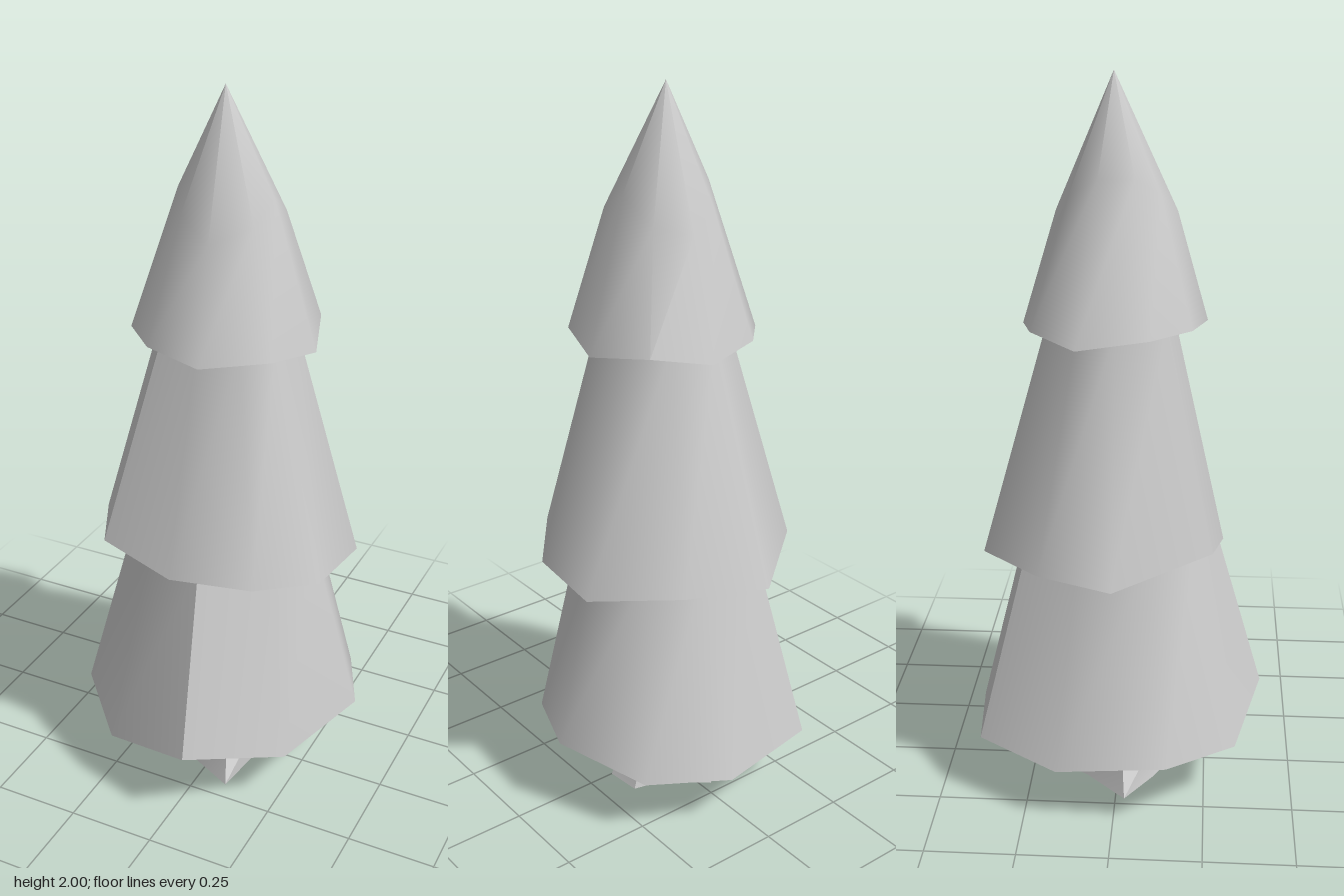
import * as THREE from 'three';
import { toCreasedNormals } from 'three/addons/utils/BufferGeometryUtils.js';

const material = new THREE.MeshStandardMaterial({ color: 0xcccccc });

// Skin a stack of rings, bottom to top; a ring of one point closes an end.
// Ring points run from the front towards +x.
function loft(name, rings, crease) {
  const pos = [];
  for (let k = 0; k < rings.length - 1; k++) {
    const lo = rings[k], hi = rings[k + 1];
    const n = Math.max(lo.length, hi.length);
    for (let i = 0; i < n; i++) {
      const j = (i + 1) % n;
      const a = lo[i % lo.length], b = lo[j % lo.length];
      const c = hi[j % hi.length], d = hi[i % hi.length];
      if (lo.length > 1) pos.push(...a, ...b, ...c);
      if (hi.length > 1) pos.push(...a, ...c, ...d);
    }
  }
  const geometry = new THREE.BufferGeometry();
  geometry.setAttribute('position', new THREE.Float32BufferAttribute(pos, 3));
  const mesh = new THREE.Mesh(toCreasedNormals(geometry, crease), material);
  mesh.name = name;
  return mesh;
}

// Copy a ring, shrunk towards the axis and set level
const shrink = (ring, s, y) => ring.map(([x, , z]) => [x * s, y, z * s]);

// Uneven nine-sided rims of the three foliage tiers: x, y, z
const lowerRim = [
  [0.06, 0.24, 0.41], [0.28, 0.18, 0.207], [0.39, 0.23, -0.055],
  [0.28, 0.185, -0.305], [0.06, 0.165, -0.41], [-0.23, 0.19, -0.38],
  [-0.36, 0.17, -0.155], [-0.39, 0.21, 0.147], [-0.21, 0.175, 0.335],
];
const middleRim = [
  [-0.035, 0.735, 0.29], [0.2, 0.75, 0.265], [0.326, 0.715, 0.103],
  [0.343, 0.7, -0.134], [0.165, 0.73, -0.327], [-0.085, 0.7, -0.375],
  [-0.31, 0.735, -0.2], [-0.39, 0.73, 0], [-0.25, 0.785, 0.26],
];
const upperRim = [
  [0.03, 1.345, 0.234], [0.193, 1.357, 0.142], [0.243, 1.33, -0.027],
  [0.183, 1.36, -0.203], [0.03, 1.33, -0.265], [-0.135, 1.35, -0.227],
  [-0.255, 1.335, -0.1], [-0.24, 1.36, 0.09], [-0.135, 1.36, 0.195],
];

// Root tips and the hollows between them, and the stem above
const roots = [
  [0.09, 0.2], [0.11, 0.05], [0.175, 0], [0.165, -0.1], [0.08, -0.12],
  [-0.03, -0.215], [-0.11, -0.09], [-0.225, 0.025], [-0.105, 0.105],
].map(([x, z]) => [x, 0, z]);
const stem = [
  [0.06, 0.13], [0.11, 0.045], [0.13, 0], [0.12, -0.08], [0.06, -0.11],
  [-0.03, -0.14], [-0.1, -0.085], [-0.155, 0.015], [-0.09, 0.1],
].map(([x, z]) => [x, 0.1, z]);

export function createModel() {
  const group = new THREE.Group();
  group.name = 'coniferTree';

  group.add(loft('trunk', [[[0, 0, 0]], roots, stem, shrink(stem, 0.98, 0.23), [[0, 0.23, 0]]], 0.5));

  const crease = 0.9;
  group.add(loft('lowerFoliage',
    [[[0, 0.19, 0]], lowerRim, shrink(lowerRim, 0.63, 0.77), [[0, 0.77, 0]]], crease));
  group.add(loft('middleFoliage',
    [[[0, 0.74, 0]], middleRim, shrink(middleRim, 0.5, 1.37), [[0, 1.37, 0]]], crease));

  // Tip bulges slightly, lower at the front than at the sides
  const apex = [-0.012, 2, -0.015];
  const bulge = upperRim.map(([x, , z]) => {
    const y = 1.76 - 0.1 * Math.abs(z) / Math.hypot(x, z) + 0.02 * Math.sign(-x);
    const s = 0.12 + (2 - y) * 1.45;
    return [x * s, y, z * s];
  });
  group.add(loft('upperFoliage', [[[0, 1.35, 0]], upperRim, bulge, [apex]], crease));
  return group;
}
